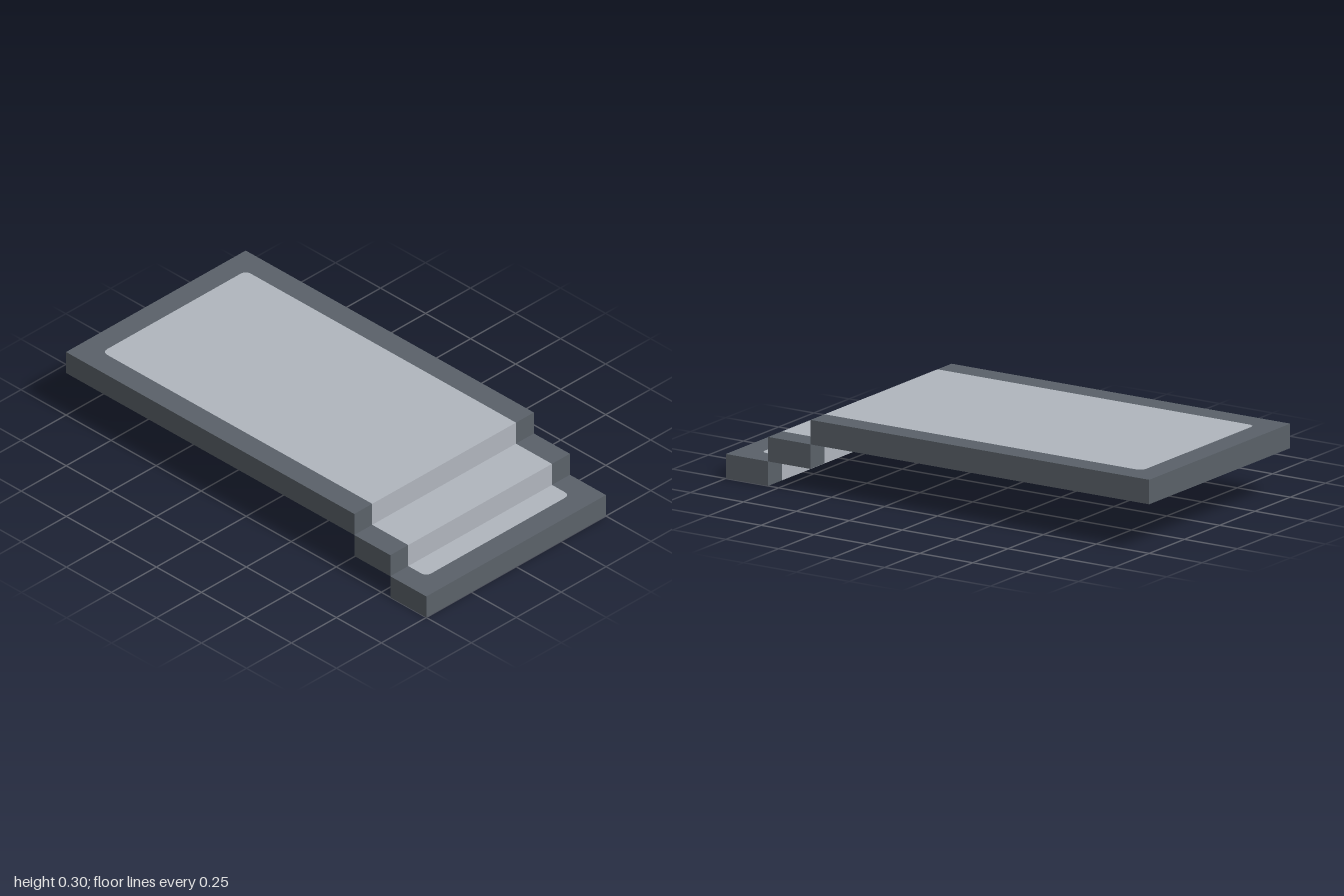
import * as THREE from 'three';

const THICK = 0.1, HALF = 0.5, INNER = 0.4, RADIUS = 0.03;

export function createModel() {
  const group = new THREE.Group();
  group.name = 'steppedPlatform';
  const border = new THREE.MeshStandardMaterial({ name: 'dark slate border', color: 0x5b626a });
  const panel = new THREE.MeshStandardMaterial({ name: 'light grey panel', color: 0xb2b7bf });

  // Extrudes a plan outline (x, -z) upward from the given height
  function addSlab(name, shape, y, material) {
    const geometry = new THREE.ExtrudeGeometry(shape, { depth: THICK, bevelEnabled: false, curveSegments: 4 });
    geometry.rotateX(-Math.PI / 2);
    const mesh = new THREE.Mesh(geometry, material);
    mesh.name = name;
    mesh.position.y = y;
    group.add(mesh);
  }

  // Panel edge: from the open end, round the two corners of the closed end, and back
  function panelOutline(open, end) {
    const s = new THREE.Shape(), r = RADIUS * Math.sign(end - open);
    s.moveTo(-INNER, open);
    s.lineTo(-INNER, end - r);
    s.quadraticCurveTo(-INNER, end, -INNER + RADIUS, end);
    s.lineTo(INNER - RADIUS, end);
    s.quadraticCurveTo(INNER, end, INNER, end - r);
    s.lineTo(INNER, open);
    return s;
  }

  // End slab: a light panel inside a U-shaped border
  function addEndSlab(name, zOpen, zOuter, y) {
    const open = -zOpen, outer = -zOuter;
    const end = outer - 0.1 * Math.sign(outer - open);
    addSlab(name + 'Panel', panelOutline(open, end), y, panel);
    const u = panelOutline(open, end);
    u.lineTo(HALF, open);
    u.lineTo(HALF, outer);
    u.lineTo(-HALF, outer);
    u.lineTo(-HALF, open);
    addSlab(name + 'Border', u, y, border);
  }

  // Lower step and long upper platform
  addEndSlab('lowerStep', 0.8, 1, 0);
  addEndSlab('platform', 0.6, -1, 0.2);

  // Middle step: panel with a border strip on each side
  function addBox(name, width, x, material) {
    const mesh = new THREE.Mesh(new THREE.BoxGeometry(width, THICK, 0.2), material);
    mesh.name = name;
    mesh.position.set(x, 0.15, 0.7);
    group.add(mesh);
  }
  addBox('middleStepPanel', INNER * 2, 0, panel);
  addBox('middleStepBorderLeft', HALF - INNER, 0.45, border);
  addBox('middleStepBorderRight', HALF - INNER, -0.45, border);

  return group;
}
